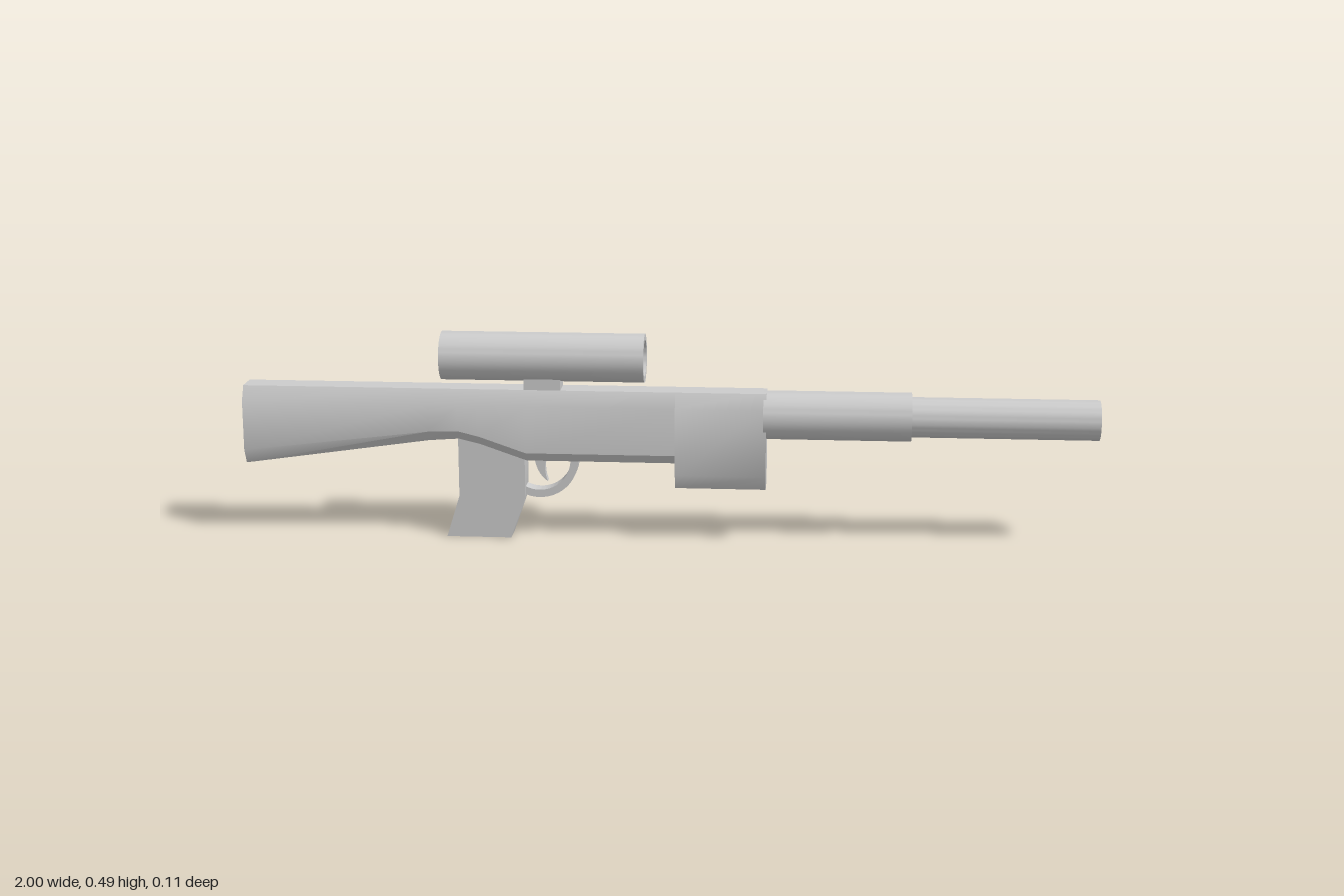
import * as THREE from 'three';
import { toCreasedNormals } from 'three/addons/utils/BufferGeometryUtils.js';

const material = new THREE.MeshStandardMaterial({ color: 0xcccccc });

function part(name, geometry, crease = 0.5) {
  const mesh = new THREE.Mesh(toCreasedNormals(geometry, crease), material);
  mesh.name = name;
  return mesh;
}

// Chamfered eight-sided sections [x, top, bottom, bottom chamfer] joined along x
function loft(sections, halfWidth = 0.048, halfFlat = 0.03, topChamfer = 0.035) {
  const pos = [], idx = [];
  for (const [x, top, bottom, chamfer] of sections) {
    const half = [[top, halfFlat], [top - topChamfer, halfWidth], [bottom + chamfer, halfWidth], [bottom, halfFlat]];
    const ring = [...half, ...half.map(([y, z]) => [y, -z]).reverse()];
    for (const [y, z] of ring) pos.push(x, y, z);
  }
  const last = (sections.length - 1) * 8;
  for (let s = 0; s < last; s += 8) {
    for (let j = 0; j < 8; j++) {
      const a = s + j, b = s + (j + 1) % 8;
      idx.push(a, b, a + 8, b, b + 8, a + 8);
    }
  }
  for (let j = 1; j < 7; j++) {
    idx.push(0, j + 1, j);
    idx.push(last, last + j, last + j + 1);
  }
  const g = new THREE.BufferGeometry();
  g.setAttribute('position', new THREE.Float32BufferAttribute(pos, 3));
  g.setIndex(idx);
  return g;
}

// Closed [radius, x] profile turned around a horizontal axis at height y
function turned(profile, y) {
  const points = [...profile, profile[0]].map(([r, x]) => new THREE.Vector2(r, x));
  return new THREE.LatheGeometry(points, 40).rotateZ(-Math.PI / 2).translate(0, y, 0);
}

// Side outline extruded evenly about z = 0
function plate(shape, width) {
  return new THREE.ExtrudeGeometry(shape, { depth: width, bevelEnabled: false, curveSegments: 20 })
    .translate(0, 0, -width / 2);
}

const outline = (points) => new THREE.Shape(points.map(([x, y]) => new THREE.Vector2(x, y)));

export function createModel() {
  const model = new THREE.Group();
  model.name = 'scopedRifle';

  // Stock and receiver in one tapering piece, with the deeper block in front
  model.add(part('stockAndReceiver', loft([
    [-1, 0.36, 0.172, 0.035],
    [-0.56, 0.36, 0.235, 0.025],
    [-0.49, 0.36, 0.24, 0.022],
    [-0.44, 0.36, 0.228, 0.022],
    [-0.33, 0.36, 0.19, 0.022],
    [0.02, 0.36, 0.19, 0.022],
  ])));
  model.add(part('frontBlock', loft([
    [0.02, 0.36, 0.13, 0.035],
    [0.232, 0.36, 0.13, 0.035],
  ])));

  // Stepped hollow barrel
  model.add(part('barrel', turned([
    [0.036, 0.225], [0.057, 0.225], [0.057, 0.568], [0.047, 0.568], [0.047, 1], [0.036, 1],
  ], 0.304)));

  // Open scope tube on its mount
  model.add(part('scope', turned([
    [0.043, -0.53], [0.057, -0.53], [0.057, -0.053], [0.043, -0.053],
  ], 0.434)));
  const mount = part('scopeMount', new THREE.BoxGeometry(0.086, 0.036, 0.06));
  mount.position.set(-0.292, 0.369, 0);
  model.add(mount);

  // Bent grip
  model.add(part('grip', plate(outline([
    [-0.492, 0.25], [-0.492, 0.1], [-0.523, 0], [-0.37, 0], [-0.335, 0.1], [-0.335, 0.21], [-0.4, 0.25],
  ]), 0.06)));

  // Curved guard running from the grip up to the receiver
  const guard = new THREE.Shape();
  guard.absarc(-0.302, 0.19, 0.092, -2.05, 0.08, false);
  guard.absarc(-0.302, 0.19, 0.074, 0.08, -2.05, true);
  model.add(part('triggerGuard', plate(guard, 0.038)));

  // Trigger with a hooked front edge
  const trigger = new THREE.Shape();
  trigger.moveTo(-0.315, 0.2);
  trigger.quadraticCurveTo(-0.312, 0.155, -0.283, 0.135);
  trigger.quadraticCurveTo(-0.295, 0.165, -0.285, 0.2);
  trigger.closePath();
  model.add(part('trigger', plate(trigger, 0.02)));

  return model;
}
